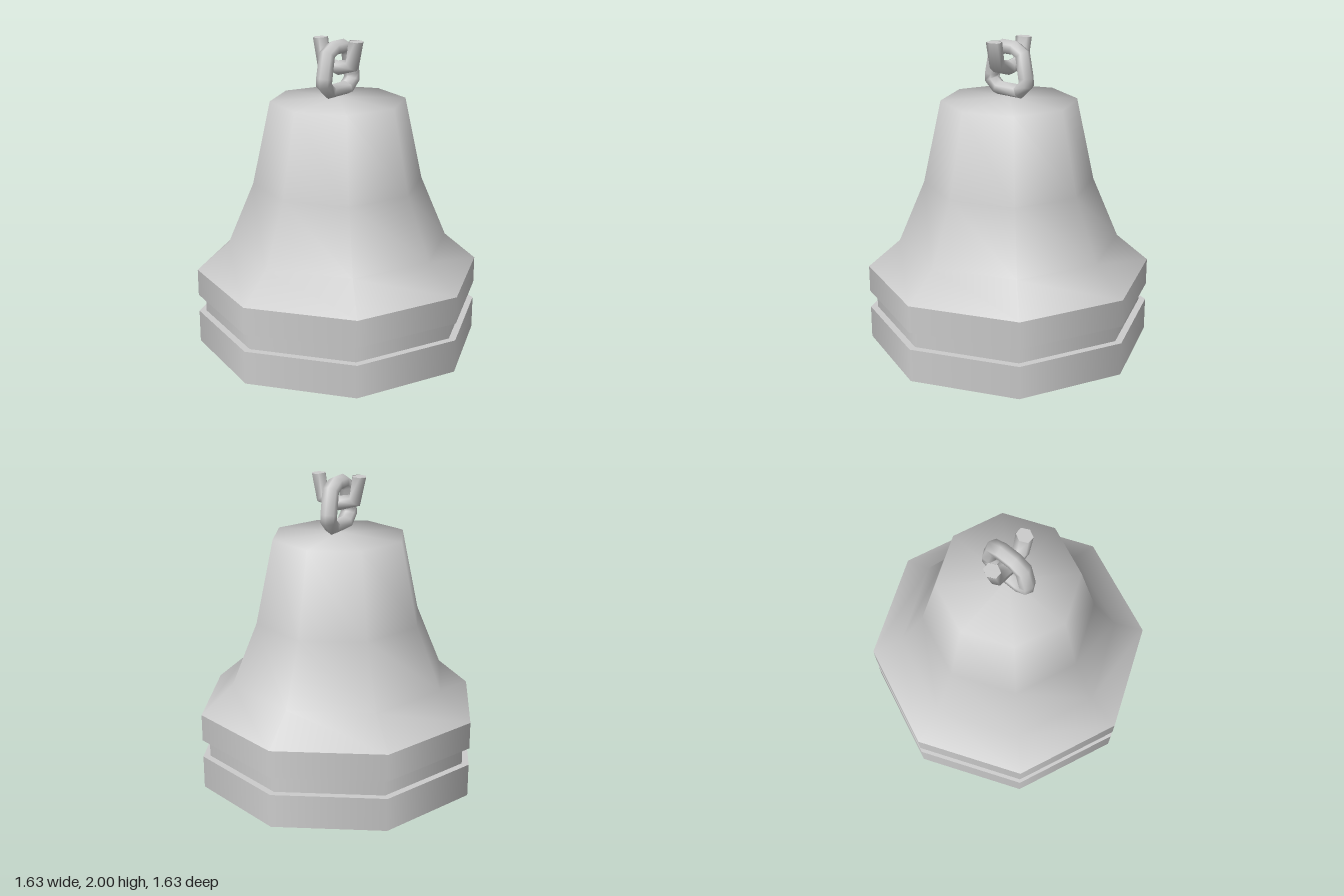
import * as THREE from 'three';

const material = new THREE.MeshStandardMaterial({ color: 0xcccccc, side: THREE.DoubleSide });
const BAR_DEPTH = 0.041; // chain bar half size within the plane of its link
const BAR_WIDTH = 0.047; // and across it

function addMesh(parent, name, geometry) {
  const mesh = new THREE.Mesh(geometry, material);
  mesh.name = name;
  parent.add(mesh);
  return mesh;
}

// Smooth lathe through [radius, height] points
function turned(points, sides, start = 0) {
  const geometry = new THREE.LatheGeometry(points.map(([r, y]) => new THREE.Vector2(r, y)), sides, start);
  geometry.normalizeNormals();
  return geometry;
}

// Six-sided bar swept along a planar path; the first and last points only steer the ends
function sweptBar(path) {
  const sides = 6, positions = [], indices = [];
  for (let i = 1; i < path.length - 1; i++) {
    const before = new THREE.Vector2(...path[i - 1]);
    const here = new THREE.Vector2(...path[i]);
    const after = new THREE.Vector2(...path[i + 1]);
    const t = here.clone().sub(before).normalize().add(after.sub(here).normalize()).normalize();
    for (let j = 0; j < sides; j++) {
      const a = (j / sides) * Math.PI * 2;
      const out = BAR_DEPTH * Math.cos(a);
      positions.push(here.x + t.y * out, here.y - t.x * out, BAR_WIDTH * Math.sin(a));
    }
  }
  const rings = path.length - 2;
  for (let i = 0; i < rings - 1; i++) {
    for (let j = 0; j < sides; j++) {
      const a = i * sides + j, b = i * sides + ((j + 1) % sides);
      indices.push(a, a + sides, b, b, a + sides, b + sides);
    }
  }
  const geometry = new THREE.BufferGeometry();
  geometry.setAttribute('position', new THREE.Float32BufferAttribute(positions, 3));
  geometry.setIndex(indices);
  geometry.computeVertexNormals();
  return geometry;
}

export function createModel() {
  const model = new THREE.Group();
  model.name = 'bell';

  // Flared body with its slightly domed crown
  addMesh(model, 'body', turned(
    [[0.814, 0.688], [0.63, 0.847], [0.482, 1.197], [0.38, 1.665], [0, 1.685]], 8));

  // Two wide bands with a groove between them, one strip per sharp edge
  const bands = new THREE.Group();
  bands.name = 'bands';
  model.add(bands);
  const outline = [[0.704, 0.242], [0.814, 0.242], [0.814, 0.432], [0.773, 0.432],
    [0.773, 0.525], [0.814, 0.533], [0.814, 0.688]];
  for (let i = 0; i < outline.length - 1; i++) {
    addMesh(bands, 'bandStrip', turned([outline[i], outline[i + 1]], 8));
  }

  // Hollow inside, a straight taper to a flat ceiling
  addMesh(model, 'cavity', turned([[0, 1.4], [0.36, 1.4], [0.704, 0.242]], 8));

  // Clapper ball running into its stem
  addMesh(model, 'clapper', turned(
    [[0, 0], [0.14, 0.048], [0.2, 0.148], [0.237, 0.25], [0.23, 0.34], [0.175, 0.45],
      [0.095, 0.53], [0.085, 0.62], [0.085, 1.4]], 6, Math.PI / 2));

  // Closed lower chain link
  const half = [[0.075, 1.722], [0.125, 1.765], [0.122, 1.8], [0.097, 1.928], [0.04, 1.957]];
  const loop = [...half, ...half.map(([x, y]) => [-x, y]).reverse()];
  addMesh(model, 'lowerLink', sweptBar([loop.at(-1), ...loop, loop[0], loop[1]]));

  // Upper link, cut off flat at the top
  const upperLink = new THREE.Group();
  upperLink.name = 'upperLink';
  upperLink.rotation.y = Math.PI / 2;
  model.add(upperLink);
  const arm = [[0.098, 1.868], [0.123, 2], [0.123, 2.13]];
  addMesh(upperLink, 'upperLinkBar', sweptBar(
    [...arm.map(([x, y]) => [-x, y]).reverse(), [0, 1.843], ...arm]));
  for (const side of [-1, 1]) {
    const cap = addMesh(upperLink, 'upperLinkEnd', new THREE.CircleGeometry(1, 6));
    cap.scale.set(BAR_DEPTH, BAR_WIDTH, 1);
    cap.rotation.x = -Math.PI / 2;
    cap.position.set(side * 0.123, 2, 0);
  }

  return model;
}
